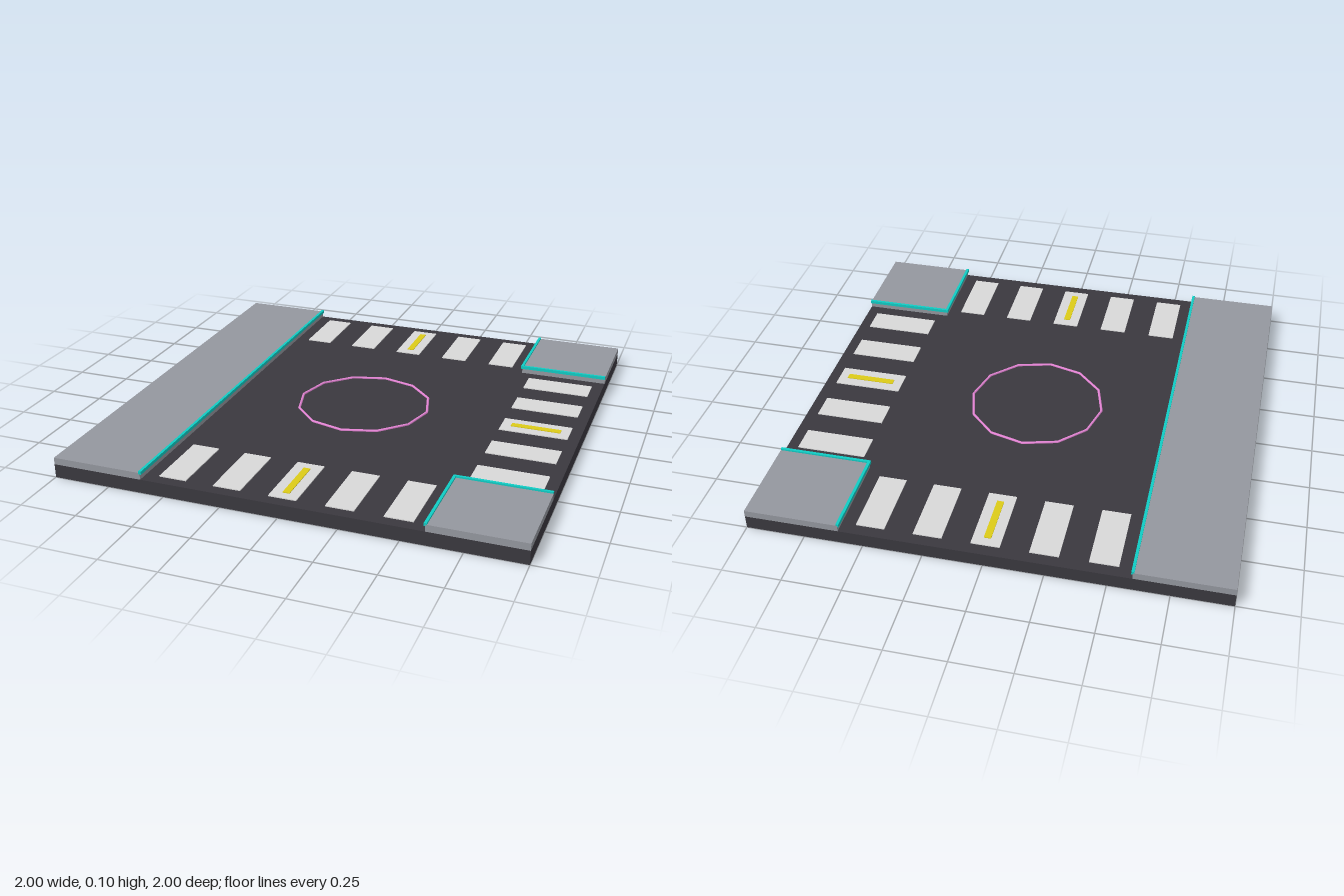
import * as THREE from 'three';

const mat = (name, color) => {
  const m = new THREE.MeshStandardMaterial({ color });
  m.name = name;
  return m;
};

export function createModel() {
  const asphalt = mat('asphalt', 0x3a383f);
  const concrete = mat('concrete', 0x94979e);
  const paint = mat('whitePaint', 0xd8d8d8);
  const yellow = mat('yellowPaint', 0xdccb18);
  const teal = mat('tealTrim', 0x10ccc4);
  const pink = mat('pinkRing', 0xea88da);

  const model = new THREE.Group();
  model.name = 'roadJunction';

  // Box given by its limits on each axis
  const box = (name, material, [x0, x1], [y0, y1], [z0, z1], parent = model) => {
    const mesh = new THREE.Mesh(new THREE.BoxGeometry(x1 - x0, y1 - y0, z1 - z0), material);
    mesh.position.set((x0 + x1) / 2, (y0 + y1) / 2, (z0 + z1) / 2);
    mesh.name = name;
    parent.add(mesh);
  };

  const road = 0.06, walk = 0.09, half = 0.6, trim = 0.006;
  const trimY = [walk - 0.007, walk + 0.007];

  // Road slab
  box('roadSlab', asphalt, [-1, 1], [0, road], [-1, 1]);

  // Long pavement on the closed side, with its edge trim
  box('longPavement', concrete, [-1, -half], [road, walk], [-1, 1]);
  box('longTrim', teal, [-half - trim, -half + trim], trimY, [-1, 1]);

  // Corner pavements, trimmed on the two road edges
  for (const s of [-1, 1]) {
    const span = (a, b) => (s > 0 ? [a, b] : [-b, -a]);
    box('cornerPavement', concrete, [half, 1], [road, walk], span(half, 1));
    box('cornerTrimSide', teal, [half - trim, half + trim], trimY, span(half - trim, 1));
    box('cornerTrimEnd', teal, [half + trim, 1], trimY, span(half - trim, half + trim));
  }

  // Crossings on the three open arms: five bars and a yellow centre dash
  for (const turn of [0, 1, 2]) {
    const crossing = new THREE.Group();
    crossing.name = 'crossing';
    crossing.rotation.y = turn * Math.PI / 2;
    for (let i = -2; i <= 2; i++) {
      const x = i * 0.24;
      box('crossingBar', paint, [x - 0.06, x + 0.06], [road, road + 0.004], [0.647, 0.95], crossing);
    }
    box('centreDash', yellow, [-0.015, 0.015], [road + 0.004, road + 0.007], [0.69, 0.91], crossing);
    model.add(crossing);
  }

  // Twelve-sided ring in the middle
  const ring = new THREE.Mesh(new THREE.TorusGeometry(0.3, 0.006, 6, 12), pink);
  ring.rotation.x = -Math.PI / 2;
  ring.position.y = road + 0.003;
  ring.name = 'centreRing';
  model.add(ring);

  return model;
}
